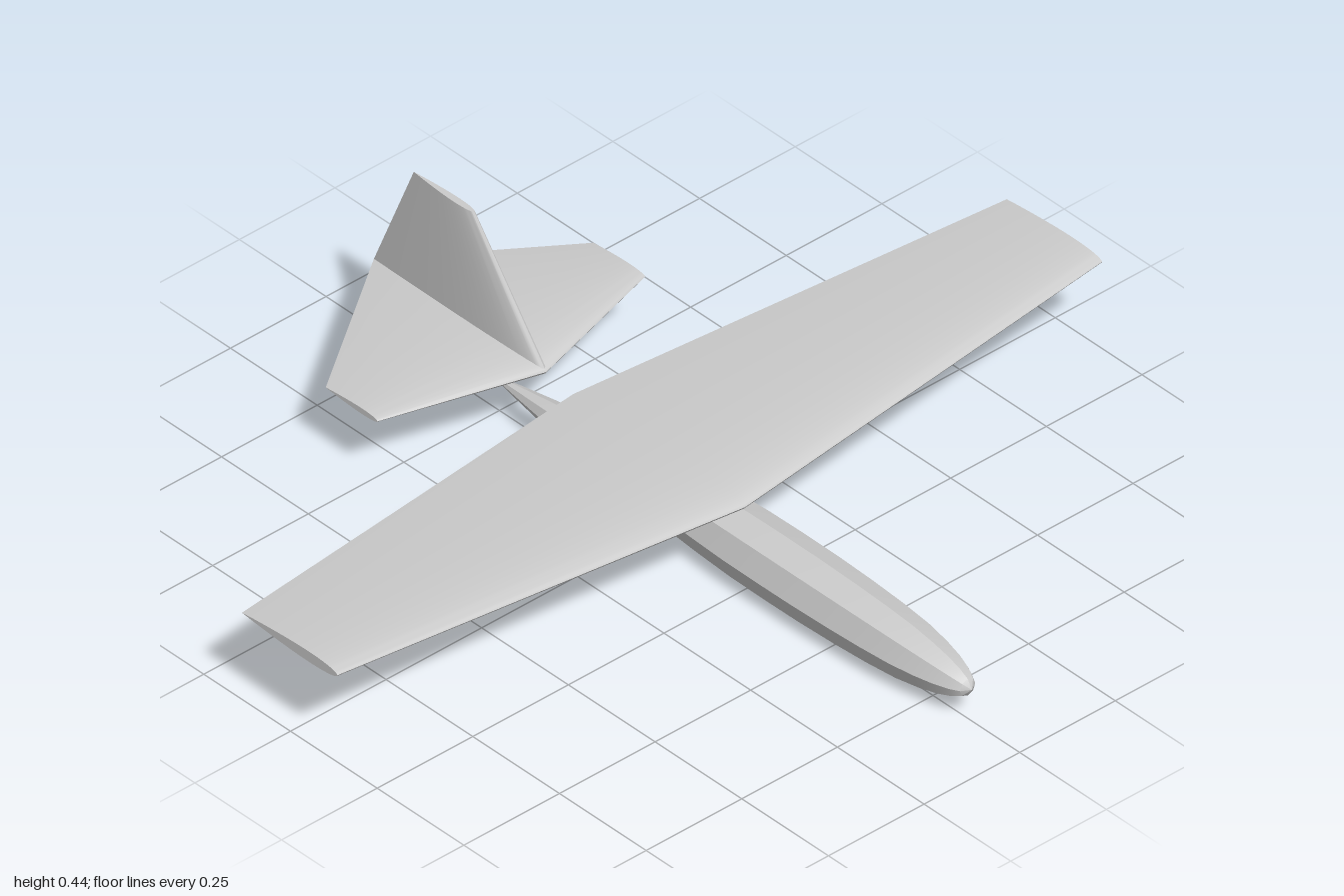
import * as THREE from 'three';
import { toCreasedNormals } from 'three/addons/utils/BufferGeometryUtils.js';

const material = new THREE.MeshStandardMaterial({ color: 0xcccccc });

// Symmetric airfoil: half thickness at chord fraction c, relative to the chord
const halfThickness = (c) =>
  0.45 * (0.2969 * Math.sqrt(c) - 0.126 * c - 0.3516 * c ** 2 + 0.2843 * c ** 3 - 0.1036 * c ** 4);

// Capped airfoil loft through sections [x, y, leading z, trailing z], ordered by rising x
function airfoilLoft(sections) {
  const n = 40;
  const positions = [];
  const index = [];
  for (const [x, y, lead, trail] of sections) {
    const chord = lead - trail;
    for (let i = 0; i < n; i++) {
      const a = (i / n) * Math.PI * 2;
      const c = (1 + Math.cos(a)) / 2;
      const side = Math.sign(Math.sin(a));
      positions.push(x, y + side * halfThickness(c) * chord, lead - c * chord);
    }
  }
  const last = (sections.length - 1) * n;
  for (let s = 0; s < last; s += n) {
    for (let i = 0; i < n; i++) {
      const j = (i + 1) % n;
      index.push(s + i, s + j, s + n + i, s + j, s + n + j, s + n + i);
    }
  }
  for (let i = 1; i < n - 1; i++) {
    index.push(0, i + 1, i, last, last + i, last + i + 1);
  }
  const geometry = new THREE.BufferGeometry();
  geometry.setAttribute('position', new THREE.Float32BufferAttribute(positions, 3));
  geometry.setIndex(index);
  return toCreasedNormals(geometry, 0.6);
}

// Mirrored surface: tip, root, tip
const mirrored = (root, [x, ...tip]) => airfoilLoft([[-x, ...tip], [0, ...root], [x, ...tip]]);

export function createModel() {
  const group = new THREE.Group();
  const add = (name, geometry) => {
    const mesh = new THREE.Mesh(geometry, material);
    mesh.name = name;
    group.add(mesh);
    return mesh;
  };

  // Eight-sided fuselage pod, tail to nose as [radius, z]
  const profile = [
    [0, -0.53], [0.013, -0.45], [0.026, -0.36], [0.037, -0.27], [0.047, -0.18], [0.056, -0.08],
    [0.064, 0.02], [0.07, 0.12], [0.074, 0.22], [0.075, 0.32], [0.0745, 0.42], [0.072, 0.52],
    [0.068, 0.61], [0.062, 0.69], [0.053, 0.75], [0.043, 0.795], [0.032, 0.828], [0.02, 0.85], [0, 0.862],
  ].map(([r, z]) => new THREE.Vector2(r, z));
  const pod = new THREE.LatheGeometry(profile, 8);
  pod.rotateX(Math.PI / 2);
  pod.translate(0, 0.076, 0);
  add('fuselage', toCreasedNormals(pod, 0.6));

  // Tapered wing with dihedral
  add('wing', mirrored([0.157, 0.208, -0.288], [1, 0.21, 0.135, -0.14]));

  // Tail surfaces share one root chord
  add('tailplane', mirrored([0.168, -0.365, -0.862], [0.35, 0.168, -0.466, -0.615]));
  const fin = airfoilLoft([[0.168, 0, -0.365, -0.862], [0.441, 0, -0.572, -0.747]]);
  fin.rotateZ(Math.PI / 2);
  add('fin', fin);

  return group;
}
